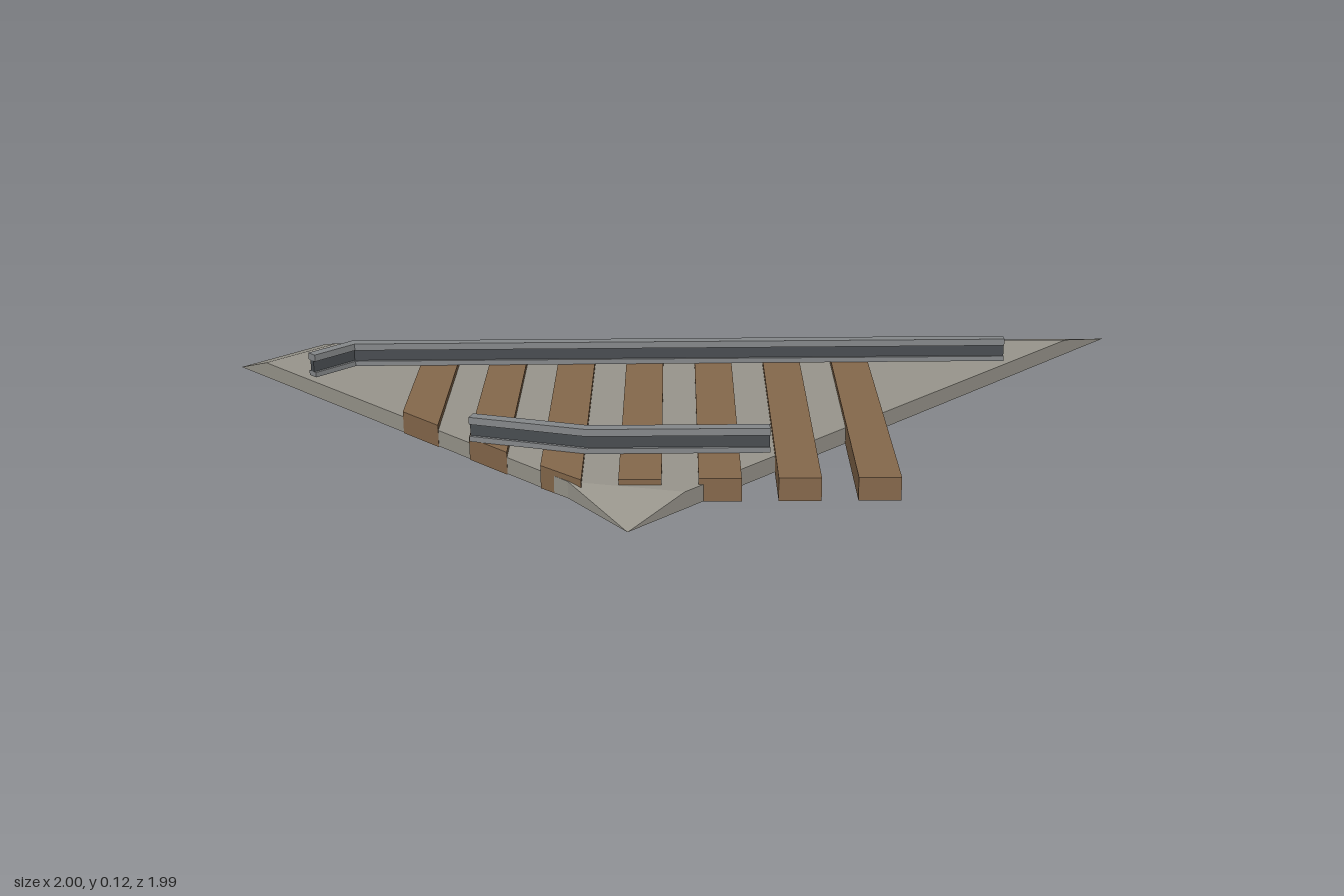
import * as THREE from 'three';

const mat = (name, color) => {
  const m = new THREE.MeshStandardMaterial({ color });
  m.name = name;
  return m;
};

// Flat-faced mesh from a list of [x, y, z] triangle corners
function facetMesh(name, corners, material) {
  const geo = new THREE.BufferGeometry();
  geo.setAttribute('position', new THREE.Float32BufferAttribute(corners.flat(), 3));
  geo.computeVertexNormals();
  const mesh = new THREE.Mesh(geo, material);
  mesh.name = name;
  return mesh;
}

// Solid between two [x, z] rings, listed clockwise as seen from above
function slab(name, bottom, top, y0, y1, material) {
  const b = bottom.map(([x, z]) => [x, y0, z]);
  const t = top.map(([x, z]) => [x, y1, z]);
  const n = b.length, out = [];
  for (let i = 0; i < n; i++) {
    const j = (i + 1) % n;
    out.push(b[j], b[i], t[j], b[i], t[i], t[j]);
  }
  // Caps fan out from corner 3
  for (let k = 1; k < n - 1; k++) {
    const p = (3 + k) % n, q = (4 + k) % n;
    out.push(b[3], b[p], b[q], t[3], t[q], t[p]);
  }
  return facetMesh(name, out, material);
}

// Rectangular bar swept along an [x, z] path with mitred corners
function bar(name, path, halfWidth, y0, y1, material) {
  const pts = path.map(([x, z]) => new THREE.Vector2(x, z));
  const normal = (a, b) => {
    const d = b.clone().sub(a).normalize();
    return new THREE.Vector2(-d.y, d.x);
  };
  const sections = pts.map((p, i) => {
    const before = normal(pts[Math.max(i - 1, 0)], pts[Math.max(i, 1)]);
    const last = pts.length - 1;
    const after = normal(pts[Math.min(i, last - 1)], pts[Math.min(i + 1, last)]);
    const m = before.clone().add(after).normalize();
    m.multiplyScalar(halfWidth / m.dot(before));
    const l = p.clone().add(m), r = p.clone().sub(m);
    return [[l.x, y0, l.y], [r.x, y0, r.y], [r.x, y1, r.y], [l.x, y1, l.y]];
  });
  const out = [];
  const quad = (a, b, c, d) => out.push(a, b, c, a, c, d);
  for (let i = 0; i < sections.length - 1; i++) {
    const s = sections[i], e = sections[i + 1];
    for (let k = 0; k < 4; k++) {
      const m = (k + 1) % 4;
      quad(s[k], s[m], e[m], e[k]);
    }
  }
  const first = sections[0], end = sections[sections.length - 1];
  quad(first[3], first[2], first[1], first[0]);
  quad(end[0], end[1], end[2], end[3]);
  return facetMesh(name, out, material);
}

export function createModel() {
  const gravel = mat('gravel grey', 0x98958c);
  const wood = mat('sleeper brown', 0x85684b);
  const steel = mat('rail steel', 0x85888a);
  const darkSteel = mat('rail web dark', 0x484c50);

  const model = new THREE.Group();
  model.name = 'trackCorner';

  // Ballast bed with sloping shoulders
  model.add(slab('ballast',
    [[-1, 0.66], [0.66, -1], [0.66, 0.99], [0.41, 0.95], [-1, 0.95]],
    [[-0.87, 0.71], [0.66, -0.8], [0.66, 0.8], [0.41, 0.95], [-0.87, 0.95]],
    0.001, 0.045, gravel));

  // Diagonal sleepers, cut off at the front edge
  const sleepers = new THREE.Group();
  sleepers.name = 'sleepers';
  const cut = ([x, z]) => {
    const over = Math.max(z - 0.952, 0);
    return [x - over, z - over];
  };
  for (let i = 0; i < 7; i++) {
    const d = 0.1365 * i;
    const ring = [[0.26, -0.34], [1, 0.4], [0.925, 0.472], [0.185, -0.268]]
      .map(([x, z]) => cut([x - d, z + d]));
    sleepers.add(slab(`sleeper${i + 1}`, ring, ring, 0, 0.06, wood));
  }
  model.add(sleepers);

  // Rails: foot, web and head
  const rails = {
    longRail: [[-0.64, 0.95], [-0.64, 0.81], [0.655, -0.49]],
    shortRail: [[0.055, 0.955], [0.33, 0.81], [0.652, 0.49]],
  };
  for (const [name, path] of Object.entries(rails)) {
    const rail = new THREE.Group();
    rail.name = name;
    rail.add(
      bar('railFoot', path, 0.015, 0.06, 0.074, steel),
      bar('railWeb', path, 0.007, 0.074, 0.106, darkSteel),
      bar('railHead', path, 0.015, 0.106, 0.125, steel));
    model.add(rail);
  }
  return model;
}
